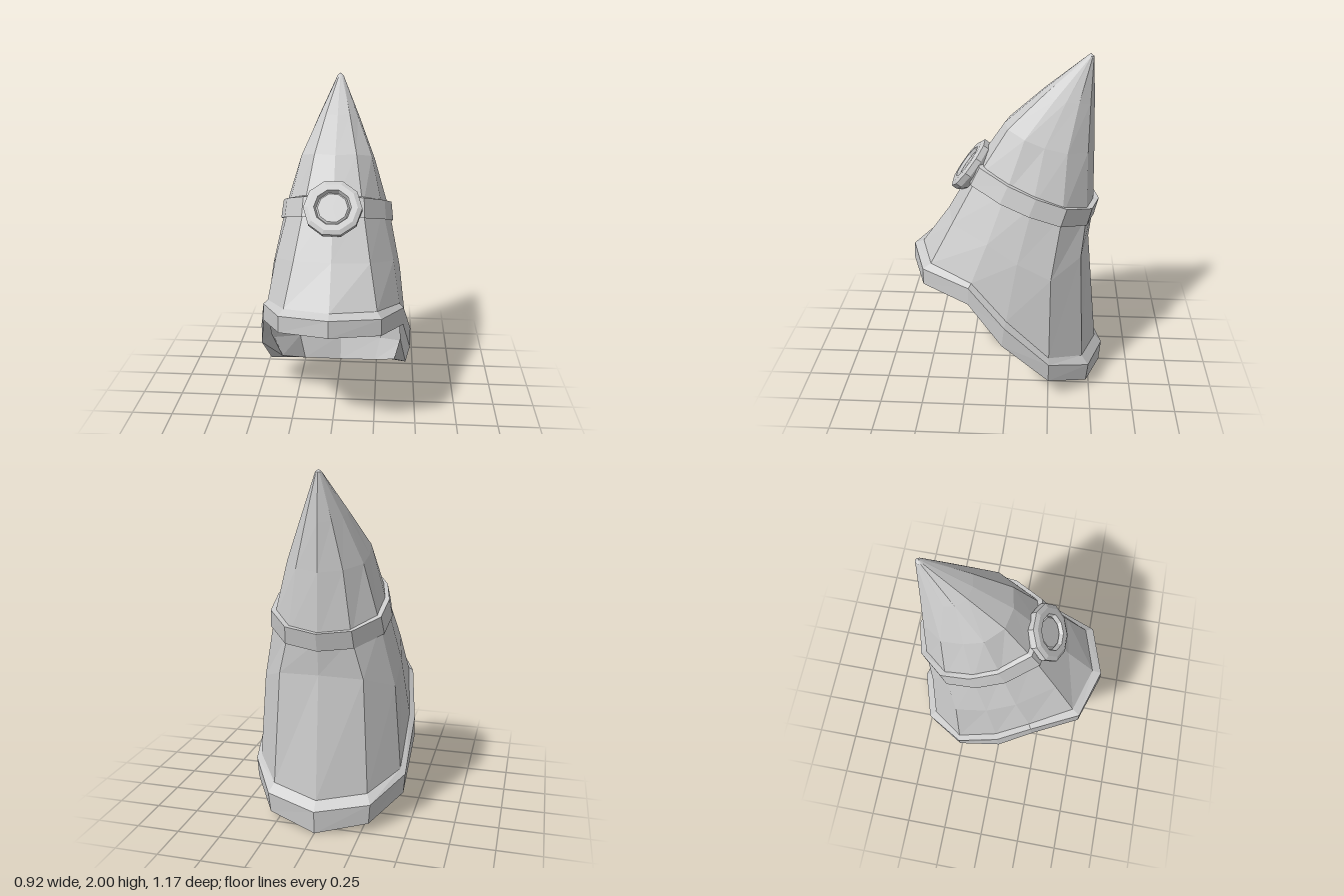
import * as THREE from 'three';

const grey = new THREE.MeshStandardMaterial({ color: 0xcccccc, flatShading: true, side: THREE.DoubleSide });

// Half outline (front centre -> left side -> back centre), mirrored to a full 12-sided ring
function ring(half) {
  const mirrored = half.slice(1, -1).reverse().map(([x, y, z]) => [-x, y, z]);
  return [...half, ...mirrored];
}

// Skin a list of half outlines, bottom to top; closed joins the last ring to the first
function loft(name, halves, closed = false) {
  const rings = halves.map(ring);
  const n = rings[0].length;
  const index = [];
  const count = closed ? rings.length : rings.length - 1;
  for (let k = 0; k < count; k++) {
    const lo = k * n, hi = ((k + 1) % rings.length) * n;
    for (let i = 0; i < n; i++) {
      const j = (i + 1) % n;
      index.push(lo + i, lo + j, hi + j, lo + i, hi + j, hi + i);
    }
  }
  const geo = new THREE.BufferGeometry();
  geo.setAttribute('position', new THREE.Float32BufferAttribute(rings.flat(2), 3));
  geo.setIndex(index);
  geo.computeVertexNormals();
  const mesh = new THREE.Mesh(geo, grey);
  mesh.name = name;
  return mesh;
}

// Rim cross-section corners around the slanted opening
const rimTop = [[0, 0.84, 0.525], [0.26, 0.825, 0.445], [0.385, 0.77, 0.2], [0.43, 0.55, 0], [0.425, 0.3, -0.25], [0.275, 0.22, -0.45], [0, 0.185, -0.54]];
const rimOuter = [[0, 0.82, 0.58], [0.285, 0.8, 0.49], [0.41, 0.75, 0.215], [0.46, 0.52, 0.01], [0.455, 0.27, -0.25], [0.3, 0.17, -0.49], [0, 0.135, -0.585]];
const rimLower = [[0, 0.72, 0.585], [0.285, 0.7, 0.49], [0.41, 0.645, 0.22], [0.46, 0.4, 0.025], [0.445, 0.15, -0.25], [0.29, 0.05, -0.48], [0, 0, -0.575]];
const rimInner = [[0, 0.7, 0.5], [0.245, 0.685, 0.43], [0.385, 0.645, 0.18], [0.4, 0.44, -0.01], [0.37, 0.17, -0.24], [0.24, 0.06, -0.43], [0, 0.015, -0.51]];

// Hood sections above the rim
const middle = [[0, 1.07, 0.36], [0.215, 1.06, 0.32], [0.345, 1, 0.11], [0.385, 0.9, -0.06], [0.385, 0.8, -0.25], [0.24, 0.88, -0.42], [0, 0.9, -0.47]];
const bandPlan = [[0, 0.2], [0.165, 0.17], [0.275, 0.01], [0.315, -0.14], [0.305, -0.305], [0.18, -0.445], [0, -0.49]];
const bandY = (z) => 1.276 + 0.37 * z;
const brow = bandPlan.map(([x, z]) => [x, bandY(z), z]);
const upper = [[0, 1.6, 0.03], [0.12, 1.6, 0.005], [0.205, 1.57, -0.09], [0.22, 1.53, -0.2], [0.215, 1.5, -0.325], [0.13, 1.48, -0.44], [0, 1.47, -0.48]];
const crown = [[0, 1.79, -0.18], [0.07, 1.79, -0.195], [0.115, 1.77, -0.25], [0.122, 1.76, -0.31], [0.115, 1.75, -0.38], [0.07, 1.74, -0.445], [0, 1.73, -0.47]];
const tip = bandPlan.map((_, i) => {
  const a = (i * Math.PI) / 6;
  return [i === 6 ? 0 : 0.018 * Math.sin(a), 1.985, -0.437 + 0.02 * Math.cos(a)];
});
const apex = tip.map(() => [0, 2, -0.437]);

// One edge of the tilted headband, grown from the hood section and shifted along the band's normal
function bandEdge(grow, shift) {
  const mid = -0.15;
  return bandPlan.map(([x, z]) => [
    x * grow,
    bandY(z) + 0.935 * shift,
    mid + (z - mid) * grow - 0.35 * shift,
  ]);
}

export function createModel() {
  const model = new THREE.Group();
  model.name = 'hood';

  model.add(loft('hoodShell', [rimTop, middle, brow, upper, crown, tip, apex]));
  model.add(loft('rim', [rimLower, rimOuter, rimTop, rimInner], true));
  model.add(loft('headband', [bandEdge(1, -0.055), bandEdge(1.075, -0.055), bandEdge(1.035, 0.055), bandEdge(0.92, 0.055)], true));

  // Ten-sided medallion with a recessed face
  const profile = [[0.13, -0.1], [0.165, -0.045], [0.165, -0.012], [0.14, 0], [0.105, 0], [0.095, -0.025], [0.085, -0.015], [0, -0.015]];
  const medallion = new THREE.Mesh(
    new THREE.LatheGeometry(profile.map(([r, y]) => new THREE.Vector2(r, y)), 10, Math.PI / 2),
    grey
  );
  medallion.name = 'medallion';
  medallion.position.set(0, 1.36, 0.25);
  medallion.rotation.x = Math.acos(0.6);
  model.add(medallion);

  return model;
}
